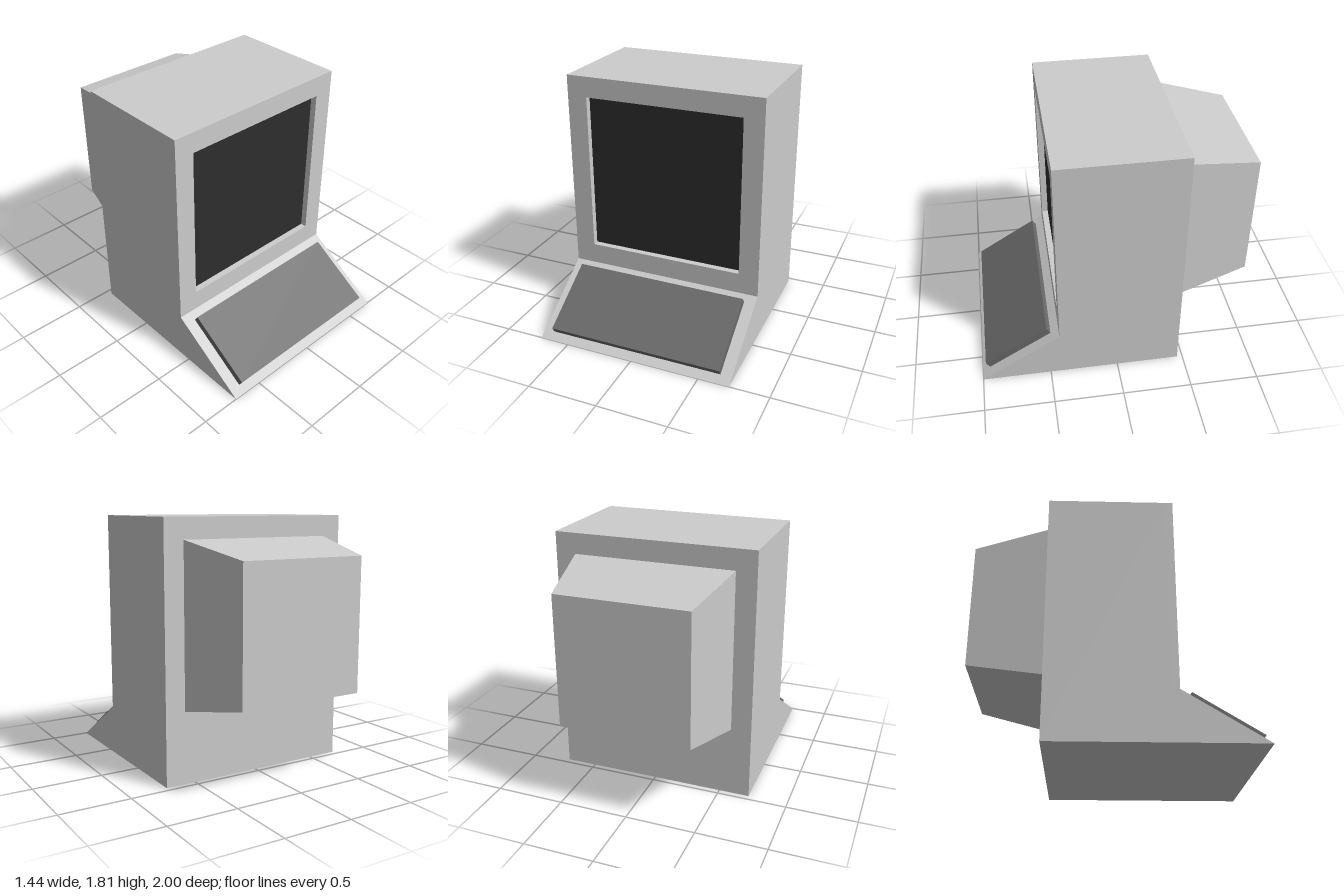
import * as THREE from 'three';

const casing = new THREE.MeshStandardMaterial({ name: 'casingGrey', color: 0xcccccc });
const keys = new THREE.MeshStandardMaterial({ name: 'keyboardGrey', color: 0x6a6a6a });
const glass = new THREE.MeshStandardMaterial({ name: 'screenBlack', color: 0x2d2d2d });

const WIDTH = 1.44, TOP = 1.81, BACK = -0.46, FRONT = 0.425, RECESS = 0.05;
const LEDGE = 0.36;                               // height where the sloped desk meets the bezel
const SCREEN = { size: 1.15, y: 1.087 };

const points = (list) => list.map(([x, y]) => new THREE.Vector2(x, y));
const rect = (w, y0, y1) => points([[-w / 2, y0], [w / 2, y0], [w / 2, y1], [-w / 2, y1]]);

function add(group, name, geometry, material) {
  const mesh = new THREE.Mesh(geometry, material);
  mesh.name = name;
  group.add(mesh);
  return mesh;
}

export function createModel() {
  const model = new THREE.Group();
  model.name = 'computerTerminal';

  // Cabinet with sloped desk: side profile (z, y) extruded across the width
  const inner = FRONT - RECESS;
  const profile = new THREE.Shape(points([
    [BACK, 0], [1, 0], [FRONT, LEDGE], [inner, LEDGE], [inner, TOP], [BACK, TOP],
  ]));
  const cabinet = new THREE.ExtrudeGeometry(profile, { depth: WIDTH, bevelEnabled: false });
  cabinet.rotateY(-Math.PI / 2).translate(WIDTH / 2, 0, 0);
  add(model, 'cabinet', cabinet, casing);

  // Bezel frame around the recessed screen
  const half = SCREEN.size / 2;
  const frame = new THREE.Shape(rect(WIDTH, LEDGE, TOP));
  frame.holes.push(new THREE.Path(rect(SCREEN.size, SCREEN.y - half, SCREEN.y + half)));
  const bezel = new THREE.ExtrudeGeometry(frame, { depth: RECESS, bevelEnabled: false });
  add(model, 'bezel', bezel.translate(0, 0, inner), casing);

  // Screen at the bottom of the recess
  const screen = add(model, 'screen', new THREE.BoxGeometry(SCREEN.size, SCREEN.size, 0.004), glass);
  screen.position.set(0, SCREEN.y, inner + 0.002);

  // Tube housing that narrows toward the back
  const depth = 1 + BACK;
  const housing = new THREE.BoxGeometry(SCREEN.size, SCREEN.size, depth);
  const p = housing.attributes.position;
  for (let i = 0; i < p.count; i++) {
    if (p.getZ(i) < 0) p.setXY(i, p.getX(i) * 0.812, p.getY(i) * 0.812);
  }
  housing.computeVertexNormals();
  add(model, 'tubeHousing', housing, casing).position.set(0, SCREEN.y, BACK - depth / 2);

  // Keyboard slab lying on the slope
  const keyboard = add(model, 'keyboard', new THREE.BoxGeometry(1.28, 0.052, 0.545), keys);
  keyboard.position.set(0, 0.206, 0.729);
  keyboard.rotation.x = Math.atan2(LEDGE, 1 - FRONT);

  return model;
}
